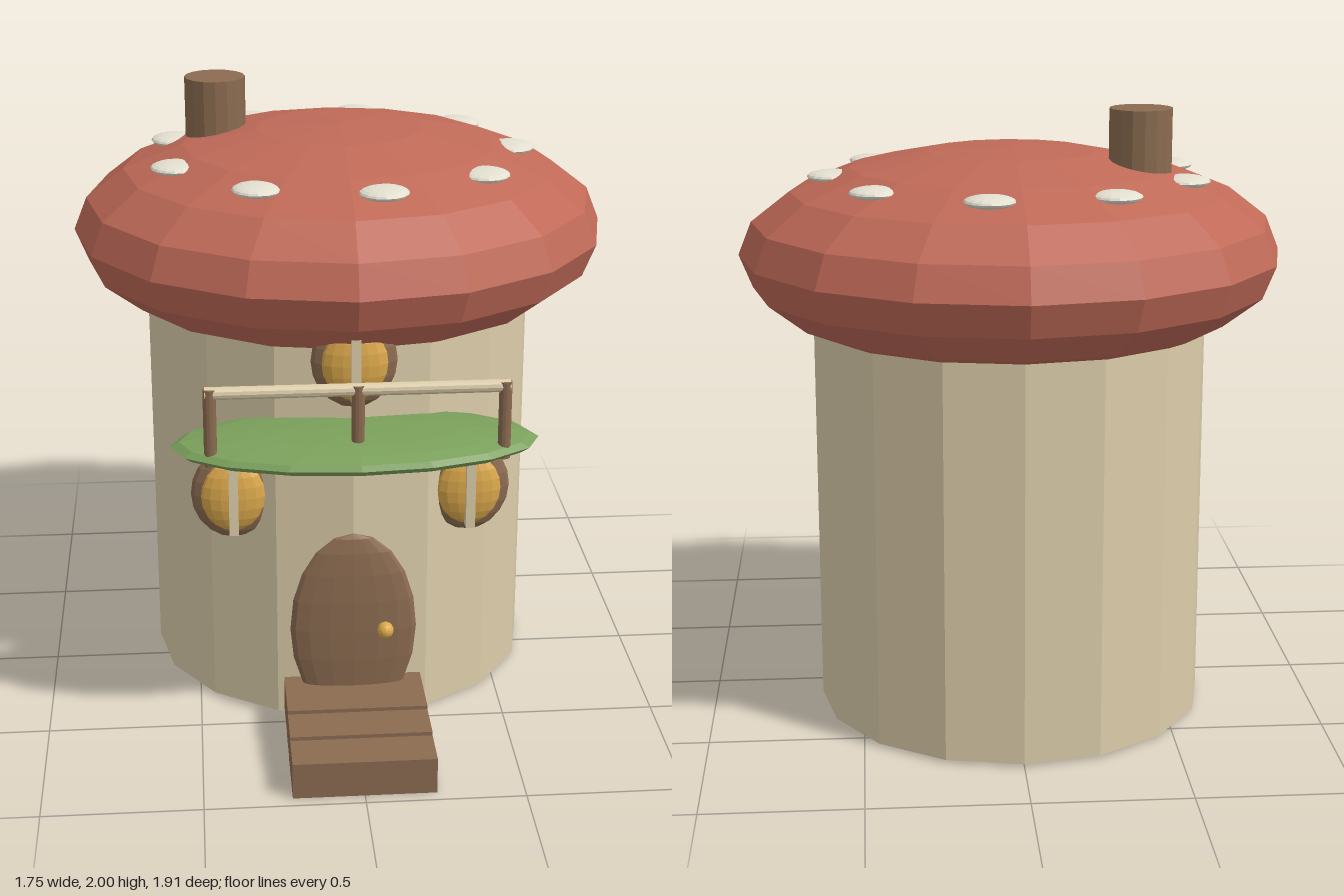
import * as THREE from 'three';

const paint = (color) => new THREE.MeshStandardMaterial({ color, flatShading: true });

export function createModel() {
  const model = new THREE.Group();
  const cream = paint(0xdccdaa), red = paint(0xc06a58), brown = paint(0x8b6b50);
  const green = paint(0x7ba05b), gold = paint(0xdca94c), white = paint(0xe3dfd0);

  const add = (name, geometry, material, x, y, z, parent = model) => {
    const mesh = new THREE.Mesh(geometry, material);
    mesh.name = name;
    mesh.position.set(x, y, z);
    parent.add(mesh);
    return mesh;
  };
  // faceted ellipsoid with the given half sizes
  const blob = (rx, ry, rz) => new THREE.SphereGeometry(1, 16, 10).scale(rx, ry, rz);
  const rod = (r, h, sides = 16) => new THREE.CylinderGeometry(r, r, h, sides);
  const cz = -0.13; // centre line of the house

  // stem, cap and chimney
  add('stemWall', rod(0.64, 1.39).scale(1, 1, 0.97), cream, 0, 0.705, cz);
  add('cap', blob(0.875, 0.345, 0.825), red, 0, 1.525, cz);
  add('chimney', rod(0.1, 0.4), brown, -0.4, 1.8, -0.26);

  // ring of spots half sunk in the cap
  for (let i = 0; i < 9; i++) {
    const a = (i / 9) * Math.PI * 2;
    add('capSpot', blob(0.08, 0.02, 0.08), white, 0.57 * Math.cos(a), 1.776, cz + 0.537 * Math.sin(a));
  }

  // door with knob
  add('door', blob(0.205, 0.335, 0.04), brown, 0, 0.345, 0.5);
  add('doorKnob', blob(0.027, 0.027, 0.027), gold, 0.1, 0.355, 0.55);

  // three overlapping steps
  for (let i = 0; i < 3; i++) {
    add('step', new THREE.BoxGeometry(0.45, 0.12, 0.22), brown, 0, 0.06 + i * 0.0125, 0.85 - i * 0.14);
  }

  // windows: frame, pane and upright bar
  for (const [x, y, z] of [[-0.38, 0.788, 0.388], [0.38, 0.788, 0.388], [0, 1.275, 0.508]]) {
    const win = new THREE.Group();
    win.name = 'window';
    win.position.set(x, y, z);
    add('windowFrame', blob(0.135, 0.155, 0.05), brown, 0, 0, 0, win);
    add('windowPane', blob(0.105, 0.122, 0.042), gold, 0, 0, 0.027, win);
    add('windowBar', new THREE.BoxGeometry(0.03, 0.23, 0.045), cream, 0, 0, 0.064, win);
    model.add(win);
  }

  // leaf balcony with railing
  add('balcony', blob(0.575, 0.053, 0.242), green, 0, 1.023, 0.557);
  for (const x of [-0.45, 0, 0.45]) add('railPost', rod(0.02, 0.25, 12), brown, x, 1.125, 0.66);
  add('handrail', rod(0.02, 0.93, 12).rotateZ(Math.PI / 2), cream, 0, 1.235, 0.657);

  return model;
}
